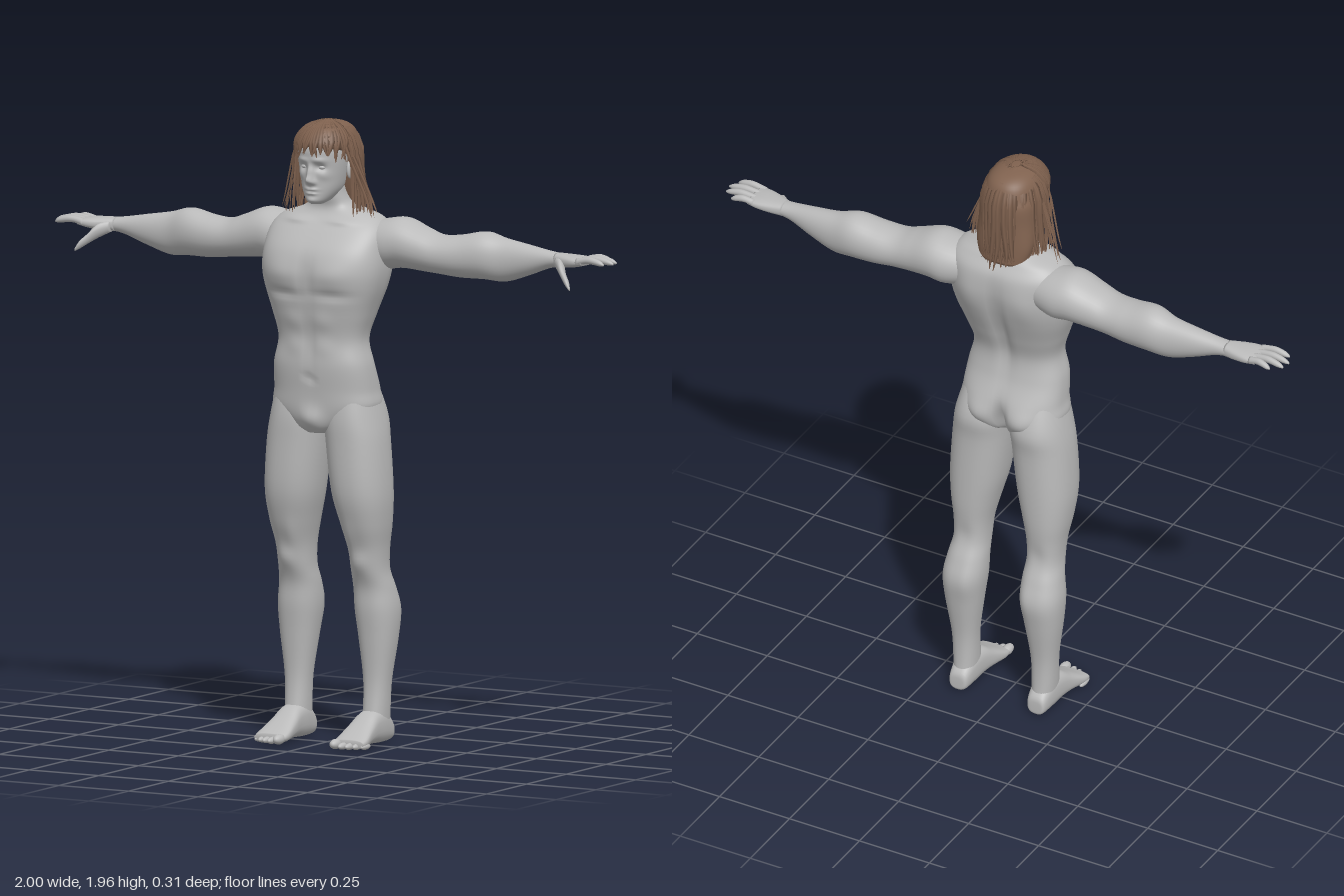
import * as THREE from 'three';
import { mergeGeometries } from 'three/addons/utils/BufferGeometryUtils.js';

const skinMat = new THREE.MeshStandardMaterial({ color: 0xbababa });
skinMat.name = 'grey skin';
const hairMat = new THREE.MeshStandardMaterial({ color: 0x80624f });
hairMat.name = 'brown hair';

// Closed smooth surface through a list of rings (arrays of [x, y, z])
function skin(rings) {
  const n = rings[0].length, pos = rings.flat(2), idx = [];
  for (let i = 0; i < rings.length - 1; i++) {
    for (let j = 0; j < n; j++) {
      const a = i * n + j, b = i * n + (j + 1) % n;
      idx.push(a, b, b + n, a, b + n, a + n);
    }
  }
  [0, rings.length - 1].forEach((r, end) => {
    const c = pos.length / 3;
    for (let k = 0; k < 3; k++) pos.push(rings[r].reduce((s, p) => s + p[k], 0) / n);
    for (let j = 0; j < n; j++) {
      const a = r * n + j, b = r * n + (j + 1) % n;
      idx.push(...(end ? [c, a, b] : [c, b, a]));
    }
  });
  // Turn the faces outward, whichever way the rings run
  const v = i => new THREE.Vector3().fromArray(pos, i * 3).sub(new THREE.Vector3().fromArray(pos, 0));
  let volume = 0;
  for (let i = 0; i < idx.length; i += 3) volume += v(idx[i]).dot(v(idx[i + 1]).cross(v(idx[i + 2])));
  if (volume < 0) idx.reverse();
  const g = new THREE.BufferGeometry();
  g.setAttribute('position', new THREE.Float32BufferAttribute(pos, 3));
  g.setIndex(idx);
  g.computeVertexNormals();
  return g;
}

// Smooth interpolation between rows
function curve(rows, t) {
  const i = Math.min(Math.floor(t), rows.length - 2), f = t - i;
  const p = k => rows[Math.max(0, Math.min(rows.length - 1, k))];
  return rows[0].map((_, c) => {
    const a = p(i - 1)[c], b = p(i)[c], d = p(i + 1)[c], e = p(i + 2)[c];
    return b + 0.5 * f * (d - a + f * (2 * a - 5 * b + 4 * d - e + f * (3 * (b - d) + e - a)));
  });
}

// Loft along an axis. Row: [position, aMin, aMax, bMin, bMax]
// a and b are x,z for axis y; z,y for axis x; x,y for axis z.
// Bump: [front 1 / back -1, x, y, spreadX, spreadY, depth], mirrored in x
function loft(axis, rows, { side = 1, sides = 32, steps = 5, power = 2.3, bumps = [] } = {}) {
  const rings = [], total = (rows.length - 1) * steps;
  for (let i = 0; i <= total; i++) {
    const [t, a0, a1, b0, b1] = curve(rows, i / steps), ring = [];
    for (let j = 0; j < sides; j++) {
      const w = j / sides * Math.PI * 2;
      const sup = q => Math.sign(q) * Math.abs(q) ** (2 / power);
      const a = (a0 + a1) / 2 + (a1 - a0) / 2 * sup(Math.cos(w));
      const b = (b0 + b1) / 2 + (b1 - b0) / 2 * sup(Math.sin(w));
      const p = axis === 'y' ? [a, t, b] : axis === 'x' ? [t, b, a] : [a, b, t];
      for (const [face, x, y, sx, sy, d] of bumps) {
        const g = Math.exp(-(((Math.abs(p[0]) - x) / sx) ** 2) - ((p[1] - y) / sy) ** 2);
        p[2] += face * d * g * Math.max(0, face * Math.sin(w));
      }
      p[0] *= side;
      ring.push(p);
    }
    rings.push(ring);
  }
  return skin(rings);
}

// Without uv, so that it merges with the lofts
function ellipsoid(x, y, z, rx, ry, rz) {
  return new THREE.SphereGeometry(1, 20, 14).deleteAttribute('uv').scale(rx, ry, rz).translate(x, y, z);
}

// Pointed lock of hair: diamond section swept along points
function lock(points, width, angle) {
  const path = new THREE.CatmullRomCurve3(points.map(p => new THREE.Vector3(...p)));
  const rings = [], c = Math.cos(angle), s = Math.sin(angle), n = 9;
  for (let i = 0; i <= n; i++) {
    const t = i / n, p = path.getPoint(t);
    const taper = Math.max(0, Math.sin(Math.PI * (0.15 + 0.85 * t))) ** 0.7;
    const w = width * (0.08 + 0.92 * taper), h = w * 0.35;
    rings.push([[w * c, -w * s], [h * s, h * c], [-w * c, w * s], [-h * s, -h * c]]
      .map(([x, z]) => [p.x + x, p.y, p.z + z]));
  }
  return skin(rings);
}

export function createModel() {
  const model = new THREE.Group();
  model.name = 'standing figure';
  const add = (name, geometry, material = skinMat) => {
    const m = new THREE.Mesh(geometry, material);
    m.name = name;
    model.add(m);
  };

  // Torso and neck
  add('torso', loft('y', [
    [0.985, -0.04, 0.04, -0.04, 0.085], [1.01, -0.1, 0.1, -0.09, 0.1], [1.06, -0.172, 0.172, -0.112, 0.108],
    [1.12, -0.17, 0.17, -0.11, 0.113], [1.2, -0.163, 0.163, -0.08, 0.12], [1.28, -0.147, 0.147, -0.07, 0.115],
    [1.36, -0.168, 0.168, -0.095, 0.128], [1.44, -0.195, 0.195, -0.125, 0.143], [1.5, -0.207, 0.207, -0.142, 0.146],
    [1.56, -0.207, 0.207, -0.15, 0.13], [1.62, -0.2, 0.2, -0.145, 0.085], [1.66, -0.165, 0.165, -0.12, 0.045],
    [1.69, -0.085, 0.085, -0.1, 0.03], [1.73, -0.06, 0.06, -0.085, 0.038], [1.8, -0.057, 0.057, -0.08, 0.045],
  ], {
    sides: 80, steps: 7, power: 2.6, bumps: [
      [1, 0.09, 1.49, 0.06, 0.04, 0.008], [1, 0.09, 1.425, 0.07, 0.014, -0.008],   // chest
      [1, 0, 1.48, 0.012, 0.07, -0.008], [1, 0, 1.27, 0.012, 0.1, -0.005],         // midline
      [1, 0.05, 1.34, 0.035, 0.03, 0.005], [1, 0.05, 1.26, 0.035, 0.03, 0.005],    // abdomen
      [1, 0, 1.16, 0.01, 0.012, -0.008], [1, 0, 1.03, 0.035, 0.035, 0.018],        // navel, groin
      [1, 0.08, 1.65, 0.05, 0.01, 0.012],                                          // collarbones
      [-1, 0, 1.4, 0.022, 0.16, -0.02], [-1, 0.1, 1.53, 0.05, 0.07, 0.009],        // spine, blades
      [-1, 0.08, 1.06, 0.05, 0.05, 0.022], [-1, 0, 1.05, 0.018, 0.06, -0.035],     // seat
    ],
  }));

  // Head with sculpted face
  add('head', loft('y', [
    [1.705, -0.018, 0.018, 0.04, 0.088], [1.718, -0.036, 0.036, 0, 0.102], [1.75, -0.057, 0.057, -0.05, 0.104],
    [1.79, -0.068, 0.068, -0.075, 0.106], [1.84, -0.076, 0.076, -0.09, 0.112], [1.88, -0.078, 0.078, -0.1, 0.115],
    [1.92, -0.068, 0.068, -0.095, 0.1], [1.945, -0.045, 0.045, -0.07, 0.07], [1.953, -0.012, 0.012, -0.03, 0.03],
  ], {
    sides: 96, steps: 9, power: 2.2, bumps: [
      [1, 0, 1.783, 0.011, 0.014, 0.026], [1, 0, 1.807, 0.009, 0.02, 0.016], [1, 0.012, 1.777, 0.007, 0.007, 0.008],
      [1, 0.03, 1.823, 0.017, 0.011, -0.013], [1, 0.03, 1.846, 0.025, 0.008, 0.006],
      [1, 0.046, 1.797, 0.016, 0.014, 0.006], [1, 0.005, 1.753, 0.016, 0.005, 0.008],
      [1, 0.005, 1.741, 0.014, 0.005, 0.007], [1, 0, 1.747, 0.02, 0.0025, -0.005], [1, 0, 1.718, 0.02, 0.01, 0.006],
    ],
  }));

  for (const side of [1, -1]) {
    const label = side > 0 ? 'left' : 'right';
    add(label + 'Eye', ellipsoid(side * 0.03, 1.823, 0.089, 0.012, 0.007, 0.009));
    add(label + 'Ear', ellipsoid(side * 0.078, 1.81, -0.005, 0.008, 0.03, 0.018));

    // Leg
    add(label + 'Leg', loft('y', [
      [1.14, 0.03, 0.16, -0.085, 0.085], [1.04, 0.008, 0.185, -0.124, 0.1], [0.95, 0.012, 0.2, -0.117, 0.1],
      [0.8, 0.03, 0.209, -0.115, 0.095], [0.7, 0.053, 0.202, -0.112, 0.07], [0.62, 0.07, 0.19, -0.106, 0.04],
      [0.55, 0.074, 0.187, -0.108, 0.024], [0.49, 0.07, 0.197, -0.13, 0.004], [0.42, 0.07, 0.206, -0.15, 0],
      [0.33, 0.082, 0.2, -0.138, -0.01], [0.2, 0.099, 0.183, -0.116, -0.02], [0.1, 0.102, 0.178, -0.114, -0.012],
      [0.04, 0.103, 0.174, -0.12, 0],
    ], {
      side, sides: 40, bumps: [
        [1, 0.13, 0.575, 0.03, 0.03, 0.009], [1, 0.1, 0.65, 0.025, 0.05, 0.006],
        [-1, 0.1, 0.43, 0.025, 0.06, 0.006], [-1, 0.13, 0.58, 0.03, 0.04, -0.006],
      ],
    }));

    // Foot and toes
    const foot = [loft('z', [
      [-0.13, 0.125, 0.158, 0.015, 0.04], [-0.122, 0.108, 0.17, 0.004, 0.07], [-0.07, 0.1, 0.178, 0.001, 0.11],
      [-0.01, 0.096, 0.182, 0.004, 0.105], [0.04, 0.09, 0.188, 0.004, 0.075], [0.09, 0.085, 0.197, 0.001, 0.045],
      [0.12, 0.088, 0.195, 0.004, 0.03],
    ], { side, power: 2.6 })];
    for (let i = 0; i < 5; i++) {
      const r = i ? 0.0115 - i * 0.0005 : 0.016;
      foot.push(ellipsoid(side * (0.102 + i * 0.021 + (i ? 0.004 : 0)), r + 0.001, 0.127 - i * i * 0.002, r, r, 0.028));
    }
    add(label + 'Foot', mergeGeometries(foot));

    // Arm
    add(label + 'Arm', loft('x', [
      [0.11, -0.125, 0.02, 1.52, 1.64], [0.19, -0.148, 0.035, 1.5, 1.658], [0.25, -0.148, 0.032, 1.505, 1.663],
      [0.32, -0.136, 0.025, 1.5, 1.637], [0.38, -0.13, 0.018, 1.495, 1.618], [0.45, -0.135, 0.01, 1.488, 1.623],
      [0.53, -0.138, -0.003, 1.487, 1.637], [0.6, -0.125, -0.022, 1.484, 1.62], [0.68, -0.11, -0.03, 1.508, 1.607],
      [0.76, -0.094, -0.035, 1.538, 1.594], [0.81, -0.092, -0.033, 1.547, 1.588],
    ], { side, power: 2.1 }));

    // Hand: palm, four fingers and thumb
    const hand = [loft('x', [
      [0.79, -0.091, -0.035, 1.546, 1.59], [0.83, -0.098, -0.018, 1.547, 1.589],
      [0.87, -0.103, -0.006, 1.552, 1.587], [0.905, -0.102, -0.006, 1.56, 1.583],
    ], { side, power: 2.6 })];
    for (const [z, tip, spread] of [[-0.016, 0.984, 0.004], [-0.042, 1, -0.003], [-0.068, 0.995, -0.006], [-0.092, 0.962, -0.009]]) {
      const rows = [0, 0.3, 0.55, 0.85, 1].map((t, k) => {
        const r = [0.012, 0.0105, 0.011, 0.009, 0.003][k];
        const c = z + spread * t, y = 1.572 + 0.01 * Math.sin(t * 3) - 0.004 * t;
        return [0.885 + (tip - 0.885) * t, c - r, c + r, y - r, y + r];
      });
      hand.push(loft('x', rows, { side, sides: 12, steps: 3, power: 2 }));
    }
    hand.push(loft('x', [
      [0.8, -0.06, -0.025, 1.545, 1.58], [0.83, -0.035, 0.006, 1.528, 1.572], [0.855, -0.004, 0.024, 1.51, 1.542],
      [0.875, 0.014, 0.036, 1.495, 1.52], [0.888, 0.03, 0.038, 1.487, 1.497],
    ], { side, sides: 16, power: 2 }));
    add(label + 'Hand', mergeGeometries(hand));
  }

  // Hair mass behind the face
  add('hairBase', loft('y', [
    [1.66, -0.08, 0.08, -0.125, -0.04], [1.72, -0.096, 0.096, -0.122, -0.015], [1.8, -0.094, 0.094, -0.12, 0.02],
    [1.86, -0.094, 0.094, -0.12, 0.045], [1.89, -0.092, 0.092, -0.116, 0.118], [1.93, -0.076, 0.076, -0.1, 0.1],
    [1.952, -0.05, 0.05, -0.068, 0.066], [1.962, -0.012, 0.012, -0.02, 0.02],
  ], { sides: 48 }), hairMat);

  // Locks falling from the crown
  let seed = 7;
  const rand = (lo, hi) => lo + (hi - lo) * ((seed = (seed * 16807) % 2147483647) / 2147483647);
  const around = (angle, rx, y, rz) => [Math.sin(angle) * rx, y, Math.cos(angle) * rz];
  const long = [], fringe = [], wisps = [];
  for (let i = 0; i < 76; i++) {
    const a = THREE.MathUtils.degToRad(80 + 200 * (i + rand(0, 0.8)) / 76), k = rand(0.96, 1.04);
    long.push(lock([
      around(a, 0.015, 1.962, 0.02), around(a, 0.06, 1.945, 0.08), around(a, 0.095 * k, 1.89, 0.119 * k),
      around(a, 0.101 * k, 1.8, 0.126 * k), around(a + rand(-0.08, 0.08), 0.107 * k, 1.72, 0.128 * k),
      around(a + rand(-0.15, 0.15), 0.112 * k, rand(1.625, 1.68), 0.132 * k),
    ], rand(0.009, 0.014), a));
  }
  for (let i = 0; i < 30; i++) {
    const a = THREE.MathUtils.degToRad(-80 + 160 * (i + rand(0, 0.7)) / 30);
    fringe.push(lock([
      around(a, 0.015, 1.963, 0.02), around(a, 0.06, 1.946, 0.08), around(a, 0.093, 1.905, 0.12),
      around(a + rand(-0.2, 0.2), 0.096, rand(1.855, 1.885) - 0.03 * Math.abs(Math.sin(a)), 0.13),
    ], rand(0.009, 0.014), a));
  }
  for (const s of [1, -1]) {
    for (let i = 0; i < 7; i++) {
      const out = rand(0.125, 0.188), z = rand(-0.05, 0.03);
      wisps.push(lock([
        [s * 0.07, 1.93, z * 0.5 + 0.02], [s * 0.097, 1.87, z + 0.02], [s * (0.06 + out * 0.4), 1.79, z + 0.01],
        [s * (0.03 + out * 0.73), 1.72, z], [s * out, rand(1.65, 1.68), z],
      ], rand(0.006, 0.01), s * 1.3));
    }
  }
  add('longHair', mergeGeometries(long), hairMat);
  add('fringe', mergeGeometries(fringe), hairMat);
  add('sideWisps', mergeGeometries(wisps), hairMat);
  return model;
}
